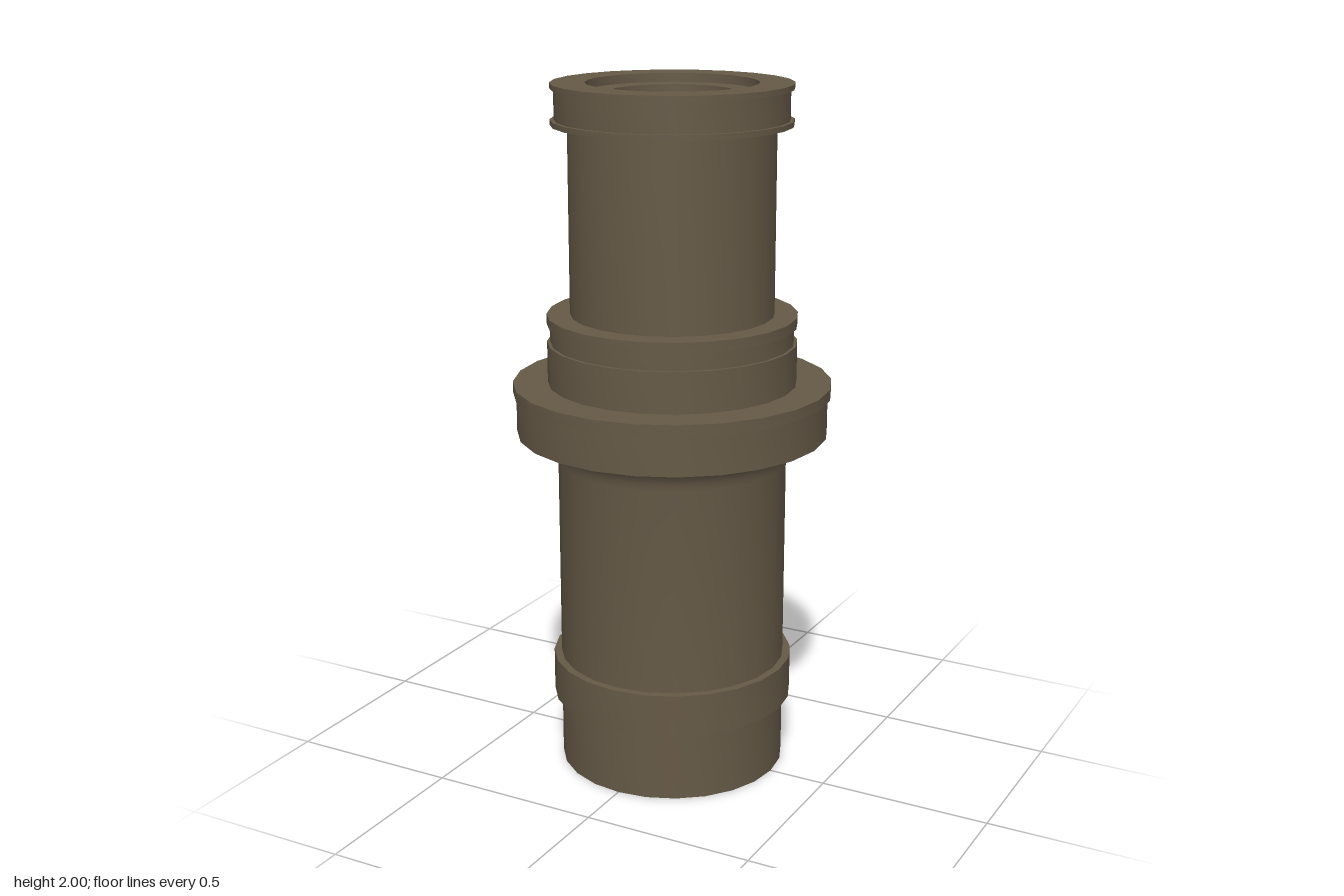
import * as THREE from 'three';
import { toCreasedNormals } from 'three/addons/utils/BufferGeometryUtils.js';

const SIDES = 24;

export function createModel() {
  const group = new THREE.Group();
  group.name = 'steppedTube';
  const bronze = new THREE.MeshStandardMaterial({ color: 0x665a47 });
  bronze.name = 'dark bronze';

  // Turn an open [radius, height] profile, listed bottom to top on the outside
  const turn = (name, profile) => {
    const points = profile.map(([r, y]) => new THREE.Vector2(r, y));
    const lathe = new THREE.LatheGeometry(points, SIDES);
    const mesh = new THREE.Mesh(toCreasedNormals(lathe, Math.PI / 6), bronze);
    mesh.name = name;
    group.add(mesh);
  };

  // Hollow foot: bore ceiling, bore wall, end face and outer wall
  turn('bore', [[0, 1.2], [0.21, 1.2], [0.21, 0]]);
  turn('foot', [[0.21, 0], [0.33, 0], [0.33, 0.205]]);
  turn('lowerBand', [[0.33, 0.205], [0.352, 0.205], [0.352, 0.33], [0.33, 0.33]]);

  // Main barrel flaring into the flange through a concave fillet
  const barrel = [[0.33, 0.33]];
  const fillet = 0.08;
  for (let i = 0; i <= 6; i++) {
    const a = (i / 6) * Math.PI / 2;
    barrel.push([0.33 + fillet * (1 - Math.cos(a)), 0.93 + fillet * Math.sin(a)]);
  }
  turn('barrel', barrel);

  // Wide flange with a slightly larger lip
  turn('flange', [[0.41, 1.01], [0.447, 1.01], [0.447, 1.125]]);
  turn('flangeLip', [[0.447, 1.125], [0.456, 1.125], [0.456, 1.157], [0.356, 1.157]]);

  // Stepped collar with a shallow groove under its rim
  turn('collar', [[0.356, 1.157], [0.356, 1.275], [0.347, 1.275], [0.347, 1.325]]);
  turn('collarRim', [[0.347, 1.325], [0.356, 1.325], [0.356, 1.355], [0.29, 1.355]]);

  turn('neck', [[0.29, 1.355], [0.29, 1.885]]);

  // Head: grooved between two thin rims
  turn('headLowerRim', [[0.29, 1.885], [0.337, 1.885], [0.337, 1.9], [0.326, 1.9]]);
  turn('headBand', [[0.326, 1.9], [0.326, 1.985]]);
  turn('headUpperRim', [[0.326, 1.985], [0.337, 1.985], [0.337, 2], [0.24, 2]]);

  // Two-step recess in the top face
  turn('topRecess', [[0.24, 2], [0.24, 1.975], [0.175, 1.975], [0.175, 1.955], [0, 1.955]]);

  return group;
}
